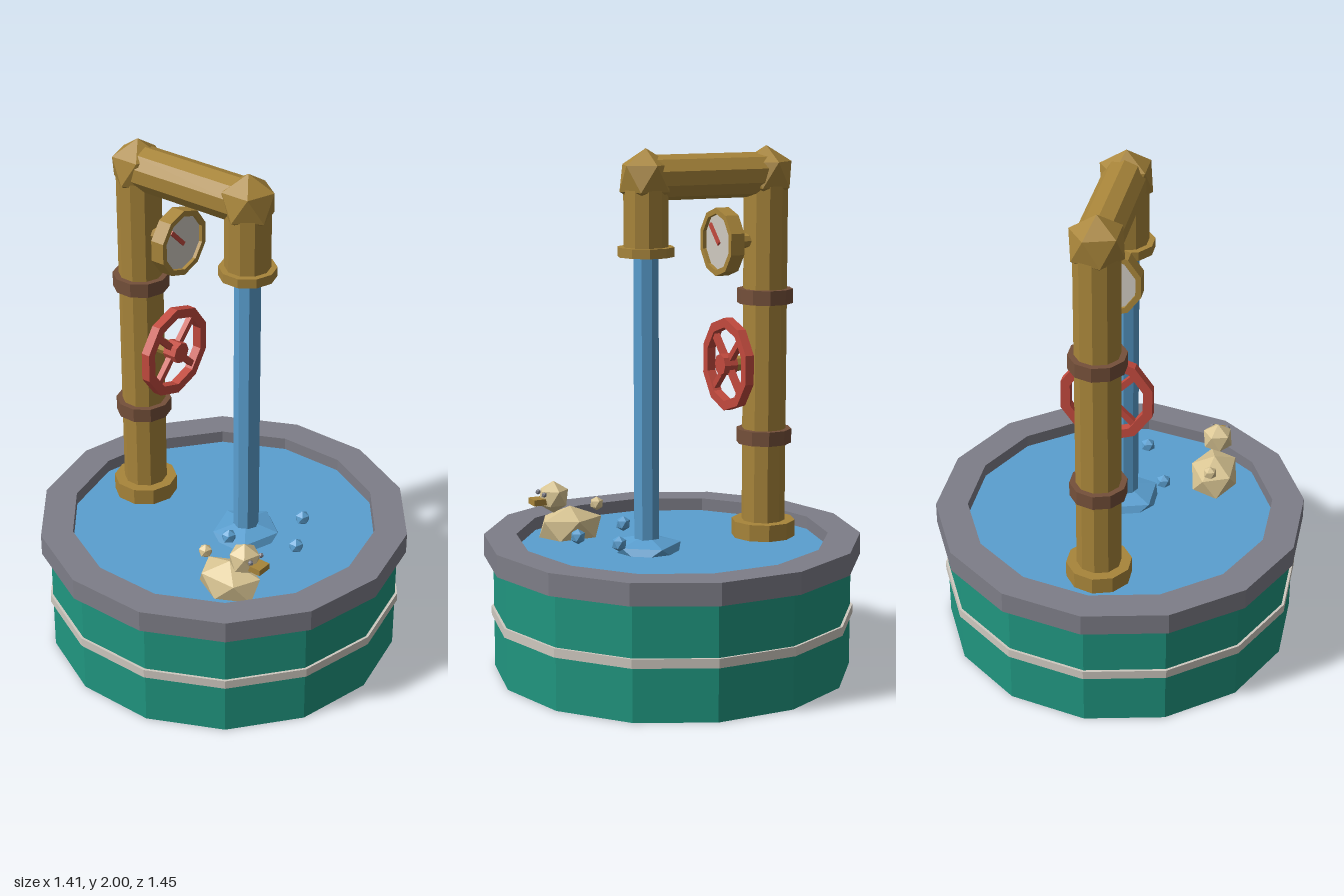
import * as THREE from 'three';

function mat(name, color) {
  const m = new THREE.MeshStandardMaterial({ color, flatShading: true });
  m.name = name;
  return m;
}

export function createModel() {
  const teal = mat('teal paint', 0x209680);
  const stone = mat('grey stone', 0x7e7e88);
  const ivory = mat('ivory', 0xcfc9c0);
  const water = mat('water blue', 0x5a9fd0);
  const brass = mat('brass', 0xa8853a);
  const copper = mat('brown copper', 0x75503a);
  const red = mat('valve red', 0xc24a3e);
  const cream = mat('duck cream', 0xd8c492);

  const model = new THREE.Group();
  model.name = 'pipeFountain';

  function add(name, geo, material, x, y, z, parent = model) {
    const m = new THREE.Mesh(geo, material);
    m.name = name;
    m.position.set(x, y, z);
    parent.add(m);
    return m;
  }
  // upright cylinder between two heights
  const upright = (name, r, y0, y1, z, material, sides = 10) =>
    add(name, new THREE.CylinderGeometry(r, r, y1 - y0, sides), material, 0, (y0 + y1) / 2, z);
  // cylinder lying along z between two depths
  const alongZ = (name, r, y, z0, z1, material, sides = 10) =>
    add(name, new THREE.CylinderGeometry(r, r, z1 - z0, sides).rotateX(Math.PI / 2),
      material, 0, y, (z0 + z1) / 2);
  // ring of rectangular section, centred on its own origin
  function ringGeo(inner, outer, h, sides) {
    const p = [[inner, -h / 2], [outer, -h / 2], [outer, h / 2], [inner, h / 2], [inner, -h / 2]];
    return new THREE.LatheGeometry(p.map(([r, y]) => new THREE.Vector2(r, y)), sides);
  }
  // faceted ball with a corner pointing straight up
  const ball = (rx, ry = rx, rz = rx) =>
    new THREE.IcosahedronGeometry(1, 0)
      .rotateZ(-Math.atan(2 / (1 + Math.sqrt(5))))
      .scale(rx, ry, rz);

  // basin
  upright('basin', 0.69, 0, 0.45, 0, teal, 14);
  add('basinBand', ringGeo(0.68, 0.7, 0.035, 14), ivory, 0, 0.222, 0);
  add('basinRim', ringGeo(0.6, 0.725, 0.085, 14), stone, 0, 0.4825, 0);
  upright('waterSurface', 0.601, 0.44, 0.475, 0, water, 14);

  // pipework
  const backZ = -0.4, frontZ = 0.11, topY = 1.89;
  upright('column', 0.085, 0.46, topY, backZ, brass);
  upright('columnFoot', 0.125, 0.46, 0.54, backZ, brass);
  for (const y of [0.877, 1.425]) upright('columnCollar', 0.108, y - 0.028, y + 0.028, backZ, copper);
  alongZ('crossPipe', 0.085, topY, backZ, frontZ, brass);
  for (const z of [backZ, frontZ]) add('elbow', ball(0.11), brass, 0, topY, z);
  upright('spout', 0.085, 1.605, topY, frontZ, brass);
  upright('spoutLip', 0.108, 1.6, 1.636, frontZ, brass);

  // falling water, splash and drops
  upright('waterJet', 0.05, 0.475, 1.61, frontZ, water, 8);
  add('splash', ball(0.15, 0.06, 0.147), water, 0, 0.475, frontZ);
  for (const [x, z] of [[-0.147, 0.14], [0.13, 0.287], [-0.038, 0.38]])
    add('drop', ball(0.03), water, x, 0.547, z);

  // valve wheel
  const wheelY = 1.168, wheelZ = -0.24;
  alongZ('valveStem', 0.03, wheelY, -0.33, -0.24, brass, 8);
  add('valveWheel', ringGeo(0.143, 0.18, 0.036, 10).rotateX(Math.PI / 2), red, 0, wheelY, wheelZ);
  alongZ('valveHub', 0.042, wheelY, -0.262, -0.205, red, 8);
  for (const s of [-1, 1])
    add('valveSpoke', new THREE.BoxGeometry(0.31, 0.024, 0.022), red, 0, wheelY, wheelZ)
      .rotation.z = s * Math.PI / 4;

  // pressure gauge
  const gaugeY = 1.64;
  alongZ('gaugeStem', 0.028, gaugeY, -0.33, -0.21, brass, 8);
  add('gaugeCase', ringGeo(0.108, 0.13, 0.056, 10).rotateX(Math.PI / 2), brass, 0, gaugeY, -0.212);
  alongZ('gaugeFace', 0.112, gaugeY, -0.228, -0.198, ivory);
  add('gaugeNeedle', new THREE.BoxGeometry(0.1, 0.016, 0.008), red, -0.028, gaugeY + 0.028, -0.194)
    .rotation.z = -Math.PI / 4;

  // floating duck
  const duck = new THREE.Group();
  duck.name = 'duck';
  duck.position.set(-0.328, 0, 0);
  model.add(duck);
  add('duckBody', ball(0.102, 0.085, 0.143), cream, 0, 0.51, 0.285, duck);
  add('duckHead', ball(0.064), cream, 0, 0.638, 0.355, duck);
  add('duckTail', ball(0.028), cream, 0, 0.592, 0.17, duck);
  add('duckBill', new THREE.BoxGeometry(0.06, 0.024, 0.055), brass, 0, 0.627, 0.42, duck);
  for (const s of [-1, 1]) add('duckEye', ball(0.011), stone, s * 0.031, 0.657, 0.407, duck);

  return model;
}
